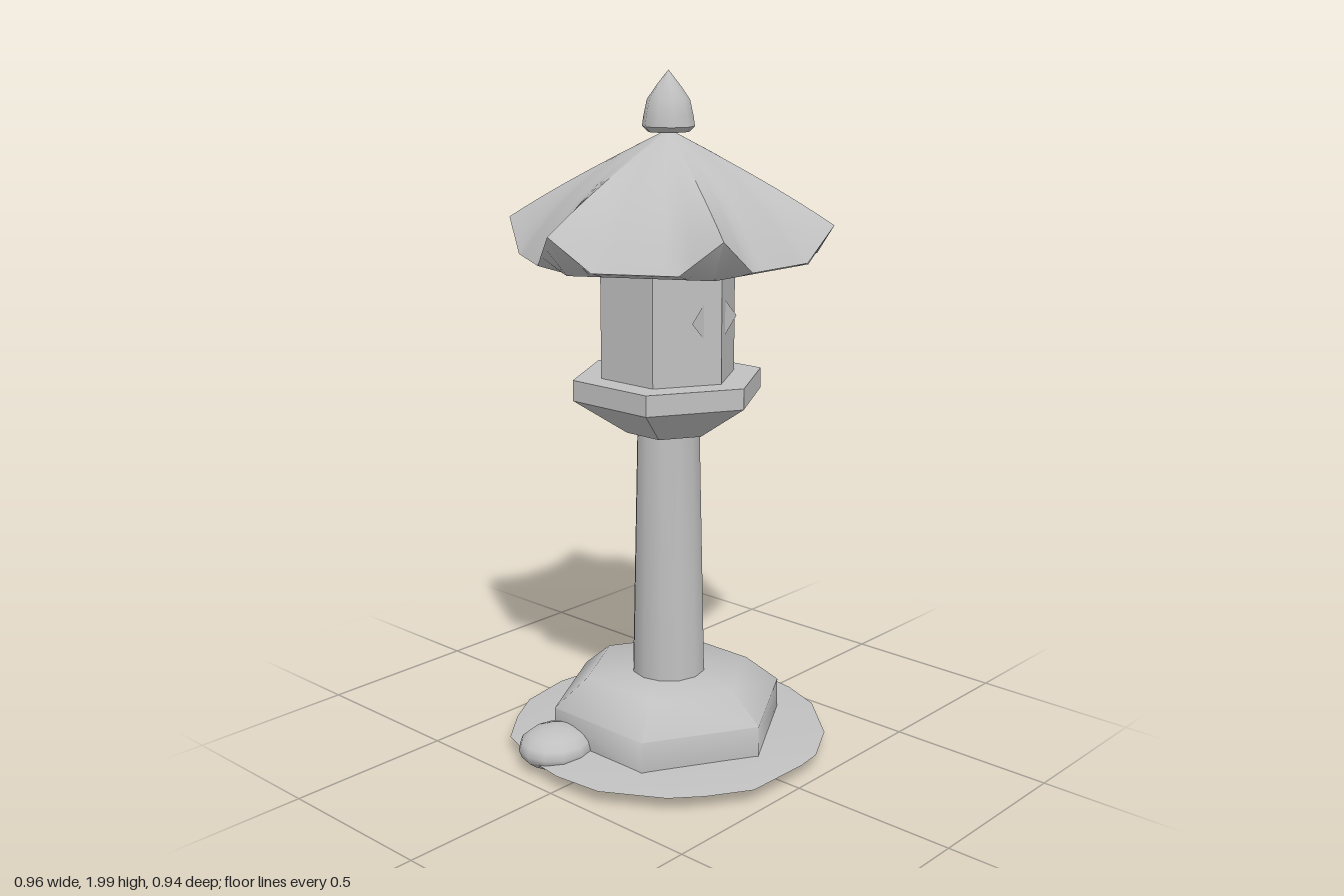
import * as THREE from 'three';
import { toCreasedNormals } from 'three/addons/utils/BufferGeometryUtils.js';

const CX = -0.011, CZ = 0.005; // axis of the lantern

// Surface joining cross-sections with equal numbers of points
function sheet(rows) {
  const n = rows[0].length, idx = [];
  for (let j = 0; j < rows.length - 1; j++) for (let i = 0; i < n - 1; i++) {
    const p = j * n + i, q = p + n;
    idx.push(p, p + 1, q, p + 1, q + 1, q);
  }
  const g = new THREE.BufferGeometry();
  g.setAttribute('position', new THREE.Float32BufferAttribute(rows.flat(2), 3));
  g.setIndex(idx);
  g.computeVertexNormals();
  return g;
}

export function createModel() {
  const group = new THREE.Group();
  const stone = new THREE.MeshStandardMaterial({ color: 0xc0c0c0, side: THREE.DoubleSide });
  stone.name = 'grey stone';

  const add = (name, geometry, x = CX, y = 0, z = CZ) => {
    const mesh = new THREE.Mesh(geometry, stone);
    mesh.name = name;
    mesh.position.set(x, y, z);
    group.add(mesh);
    return mesh;
  };
  // Turned or polygonal part from [radius, height] pairs; a corner points to +z
  const turned = (name, profile, sides, crease) => {
    const points = profile.map(([r, y]) => new THREE.Vector2(r, y));
    return add(name, toCreasedNormals(new THREE.LatheGeometry(points, sides).toNonIndexed(), crease));
  };

  // Uneven ground slab, slightly raised inside its rim, flat below
  const outline = [[0, -0.475], [-0.17, -0.445], [-0.28, -0.38], [-0.39, -0.29], [-0.46, -0.1],
    [-0.475, 0], [-0.46, 0.15], [-0.36, 0.32], [-0.28, 0.39], [-0.16, 0.465], [0.05, 0.47],
    [0.13, 0.46], [0.27, 0.385], [0.41, 0.23], [0.46, 0.1], [0.475, 0], [0.46, -0.11], [0.4, -0.24],
    [0.3, -0.33], [0.24, -0.41], [0.13, -0.46], [0, -0.475]];
  const ring = (s, y) => outline.map(([x, z]) => [x * s, y, z * s]);
  add('groundSlab', sheet([ring(1, 0.05), ring(0.75, 0.064), ring(0.3, 0.066)]), 0, 0, 0);
  add('groundSlabUnderside', sheet([ring(0.001, 0.046), ring(0.97, 0.046), ring(1, 0.05)]), 0, 0, 0);

  // Pedestal, column, platform and lamp house
  turned('pedestal', [[0, 0.055], [0.353, 0.055], [0.353, 0.155], [0.25, 0.24], [0, 0.24]], 6, 1.1);
  turned('column', [[0.11, 0.2], [0.092, 1.0]], 12, 0.9);
  turned('platform', [[0, 0.98], [0.125, 0.98], [0.283, 1.085], [0.283, 1.145], [0, 1.145]], 6, 0.3);
  turned('lampHouse', [[0.2, 1.14], [0.2, 1.48]], 6, 0.3);

  // Diamond window plates, pierced by the front and back corners of the lamp house
  for (const side of [1, -1]) {
    const plate = add('windowPlate', new THREE.CircleGeometry(0.094, 4), CX, 1.325, CZ + side * 0.174);
    if (side < 0) plate.rotation.y = Math.PI;
  }

  // Roof: a smooth cone that breaks into six sides with upswept corners
  const N = 12, R = 0.467;
  const cone = (r) => 1.84 - 0.5 * r;
  for (let k = 0; k < 6; k++) {
    const a = k * Math.PI / 3, b = a + Math.PI / 3;
    const eave = Array.from({ length: N + 1 }, (_, i) => {
      const t = i / N, lift = Math.max(0, 1 - 4 * Math.min(t, 1 - t));
      return [R * THREE.MathUtils.lerp(Math.cos(a), Math.cos(b), t), 1.493 + 0.092 * lift,
        R * THREE.MathUtils.lerp(Math.sin(a), Math.sin(b), t)];
    });
    const slope = (s) => eave.map(([x, y, z]) => {
      const r = Math.hypot(x, z);
      return [x * s, cone(r * s) + (y - cone(r)) * s ** 3, z * s];
    });
    const under = (s) => eave.map(([x, , z]) => [x * s, 1.475, z * s]);
    add('roofSlope', sheet([1, 0.9, 0.78, 0.65, 0.5, 0.3, 0.02].map(slope).reverse()));
    add('roofUnderside', sheet([eave, under(0.85), under(0.3)]));
  }

  // Small leaf-shaped chip half sunk in the roof
  const chip = add('roofChip', new THREE.SphereGeometry(1, 8, 6).scale(0.032, 0.02, 0.076), 0.222, 1.662, -0.142);
  chip.rotation.y = 0.42;

  // Pointed bud on top
  turned('finial', [[0, 1.83], [0.058, 1.832], [0.074, 1.847], [0.07, 1.875], [0.06, 1.92],
    [0.032, 1.96], [0, 2]], 10, 0.9);

  // Loose stones around the foot: position, then radii
  const stones = [[-0.362, 0.068, -0.12, 0.114, 0.06, 0.108], [0.364, 0.066, -0.078, 0.114, 0.058, 0.102],
    [0.188, 0.062, -0.324, 0.104, 0.055, 0.1]];
  for (const [x, y, z, rx, ry, rz] of stones)
    add('looseStone', new THREE.SphereGeometry(1, 12, 8).scale(rx, ry, rz), x, y, z);

  return group;
}
